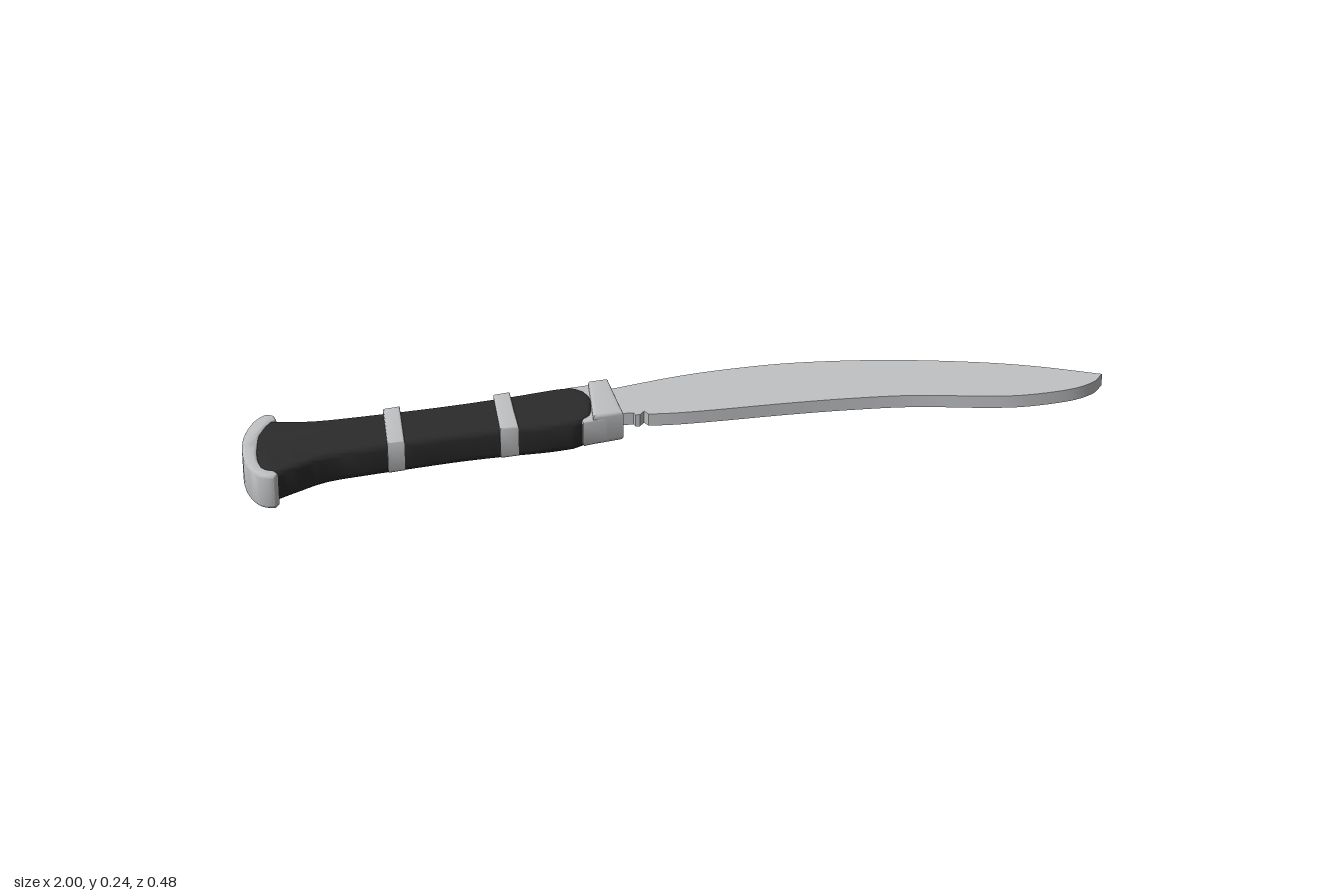
import * as THREE from 'three';
import { toCreasedNormals } from 'three/addons/utils/BufferGeometryUtils.js';

const steel = new THREE.MeshStandardMaterial({ color: 0xbbbcbe });
steel.name = 'steel';
const black = new THREE.MeshStandardMaterial({ color: 0x2a2a2a });
black.name = 'black grip';

// Tilted planes in which the handle and the blade lie: y = a + b x + c z
const HANDLE = [0.166, 0.043, -0.231];
const BLADE = [0.15, 0.062, -0.25];

// Smooth curve through [x, z] points, as shape points
function smooth(points, divisions) {
  const curve = new THREE.SplineCurve(points.map(([x, z]) => new THREE.Vector2(x, -z)));
  return curve.getPoints(divisions);
}

function straight(points) {
  return points.map(([x, z]) => new THREE.Vector2(x, -z));
}

// Solid plate between two heights measured from a tilted plane, with rounded rims
function plate(name, outline, plane, bottom, top, bevel, material) {
  const shape = new THREE.Shape(outline);
  const geometry = new THREE.ExtrudeGeometry(shape, {
    depth: top - bottom - 2 * bevel,
    bevelEnabled: bevel > 0,
    bevelThickness: bevel,
    bevelSize: bevel,
    bevelOffset: -bevel,
    bevelSegments: 4,
  });
  geometry.translate(0, 0, bottom + bevel);
  geometry.rotateX(-Math.PI / 2);
  const [a, b, c] = plane;
  geometry.applyMatrix4(new THREE.Matrix4().set(
    1, 0, 0, 0,
    b, 1, c, a,
    0, 0, 1, 0,
    0, 0, 0, 1));
  const mesh = new THREE.Mesh(toCreasedNormals(geometry, 0.6), material);
  mesh.name = name;
  return mesh;
}

export function createModel() {
  const group = new THREE.Group();
  group.name = 'curvedKnife';

  // Blade: arched spine, then the cutting edge back to a small notch at the guard
  const spine = smooth([[-0.17, -0.16], [0, -0.208], [0.15, -0.232], [0.3, -0.24],
    [0.5, -0.225], [0.7, -0.187], [0.85, -0.143], [1, -0.08]], 48);
  const edge = smooth([[0.995, -0.074], [0.97, -0.042], [0.91, -0.014], [0.8, 0], [0.7, -0.009],
    [0.55, -0.033], [0.4, -0.038], [0.25, -0.034], [0.1, -0.025], [0, -0.021], [-0.07, -0.024]], 56);
  const notch = straight([[-0.08, -0.04], [-0.09, -0.024], [-0.1, -0.024], [-0.105, -0.035], [-0.17, -0.035]]);
  group.add(plate('blade', [...spine, ...edge, ...notch], BLADE, -0.028, 0, 0, steel));

  // Grip: flared at the pommel, rounded where it meets the guard
  const gripBack = smooth([[-0.96, -0.045], [-0.85, -0.036], [-0.7, -0.056], [-0.55, -0.082],
    [-0.4, -0.116], [-0.28, -0.148], [-0.235, -0.14], [-0.208, -0.1], [-0.2, -0.05],
    [-0.203, 0], [-0.225, 0.025]], 50);
  const gripFront = smooth([[-0.24, 0.034], [-0.3, 0.047], [-0.4, 0.058], [-0.5, 0.073], [-0.6, 0.094],
    [-0.7, 0.116], [-0.79, 0.14], [-0.85, 0.18], [-0.895, 0.215]], 40);
  const gripEnd = smooth([[-0.92, 0.205], [-0.955, 0.13], [-0.975, 0.04]], 8);
  group.add(plate('grip', [...gripBack, ...gripFront, ...gripEnd], HANDLE, -0.069, 0.001, 0.014, black));

  // Pommel: crescent cap wrapped round the flared end
  const pommelOuter = smooth([[-0.885, 0.222], [-0.895, 0.235], [-0.93, 0.222], [-0.966, 0.17],
    [-0.99, 0.1], [-1, 0.03], [-0.993, -0.035], [-0.972, -0.07], [-0.948, -0.064]], 36);
  const pommelInner = smooth([[-0.94, -0.045], [-0.955, -0.015], [-0.963, 0.04], [-0.95, 0.13],
    [-0.925, 0.19], [-0.895, 0.207]], 20);
  group.add(plate('pommel', [...pommelOuter, ...pommelInner], HANDLE, -0.073, 0.003, 0.007, steel));

  // Two bands over the grip, sunk into its underside
  const bands = [
    [[-0.693, -0.064], [-0.655, -0.074], [-0.621, 0.104], [-0.659, 0.113]],
    [[-0.438, -0.113], [-0.4, -0.123], [-0.366, 0.058], [-0.408, 0.066]],
  ];
  for (const corners of bands) {
    group.add(plate('band', straight(corners), HANDLE, -0.064, 0.007, 0.005, steel));
  }

  // Guard: low base beneath the grip end and a raised collar at the blade
  group.add(plate('guardBase', straight([[-0.268, -0.153], [-0.18, -0.172], [-0.15, 0.008], [-0.22, 0.032]]),
    HANDLE, -0.062, -0.003, 0.006, steel));
  group.add(plate('guardCollar', straight([[-0.215, -0.166], [-0.168, -0.176], [-0.128, 0.003], [-0.197, 0.022]]),
    HANDLE, -0.064, 0.006, 0.009, steel));

  return group;
}
